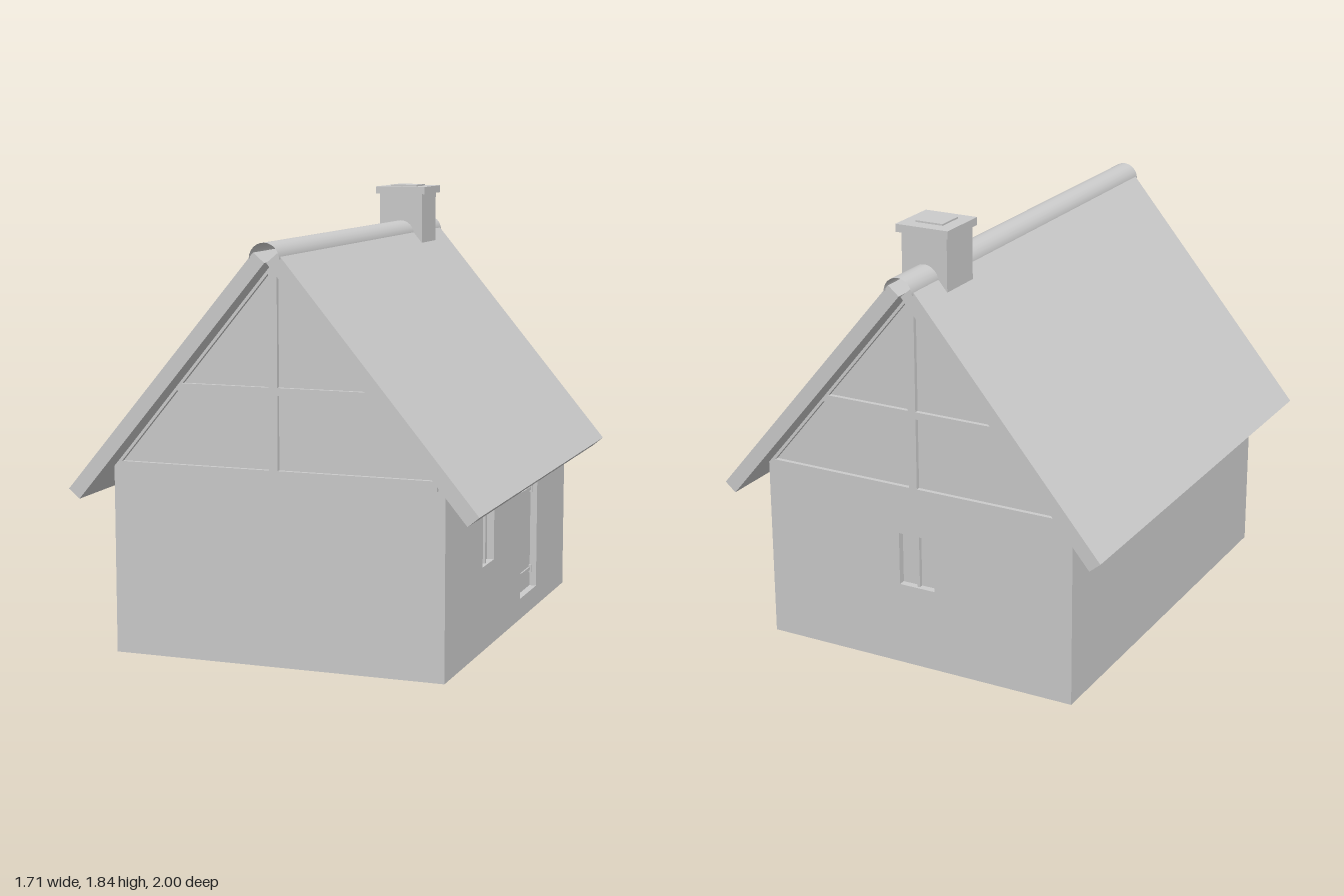
import * as THREE from 'three';

const grey = new THREE.MeshStandardMaterial({ color: 0xcccccc });
const greyThin = new THREE.MeshStandardMaterial({ color: 0xcccccc, side: THREE.DoubleSide });

const HALF_W = 0.695, HALF_L = 0.9, WALL = 0.05;
const EAVE_Y = 0.765, APEX_Y = 1.59, RECESS = 0.03;

function add(parent, name, geometry, x = 0, y = 0, z = 0, material = grey) {
  const mesh = new THREE.Mesh(geometry, material);
  mesh.name = name;
  mesh.position.set(x, y, z);
  parent.add(mesh);
  return mesh;
}

const box = (parent, name, w, h, d, x, y, z) => add(parent, name, new THREE.BoxGeometry(w, h, d), x, y, z);
const toPoints = (list) => list.map(([x, y]) => new THREE.Vector2(x, y));
const rect = (x0, x1, y0, y1) => [[x0, y0], [x1, y0], [x1, y1], [x0, y1]];

function plate(outline, holes, depth) {
  const shape = new THREE.Shape(toPoints(outline));
  holes.forEach((h) => shape.holes.push(new THREE.Path(toPoints(h))));
  return new THREE.ExtrudeGeometry(shape, { depth, bevelEnabled: false });
}

// A wall facing local +z at the given distance, turned about y
function wall(parent, name, outline, holes, distance, angle) {
  const side = new THREE.Group();
  side.name = name;
  side.rotation.y = angle;
  parent.add(side);
  add(side, name + 'Panel', plate(outline, holes, WALL), 0, 0, distance - WALL);
  return side;
}

// Recessed window: pane and central mullion behind the opening
const WIN = { w: 0.16, y0: 0.35, y1: 0.575 };
const windowHole = (x) => rect(x - WIN.w / 2, x + WIN.w / 2, WIN.y0, WIN.y1);
function addWindow(side, x, face) {
  const h = WIN.y1 - WIN.y0, y = (WIN.y0 + WIN.y1) / 2;
  box(side, 'windowPane', WIN.w + 0.02, h + 0.02, 0.02, x, y, face - RECESS - 0.01);
  box(side, 'windowMullion', 0.012, h, 0.02, x, y, face - RECESS + 0.008);
}

// Timber frame of the gable: tie beam, rafters, post and rail
function gableFrame(side) {
  const base = 0.79, railY = 1.1, half = 0.667, top = 1.595;
  const innerX = (y) => half * (top - y) / (top - base) - 0.015;
  const post = 0.018, rail = 0.015;
  const holes = [];
  for (const s of [-1, 1]) {
    const lo = railY - rail, hi = railY + rail;
    const peak = top - (post + 0.015) * (top - base) / half;
    holes.push([[s * post, base], [s * innerX(base), base], [s * innerX(lo), lo], [s * post, lo]]);
    holes.push([[s * post, hi], [s * innerX(hi), hi], [s * post, peak]]);
  }
  const outline = [[-half, 0.75], [half, 0.75], [half, base], [0, top], [-half, base]];
  add(side, 'gableFrame', plate(outline, holes, 0.02), 0, 0, HALF_L - 0.002);
}

function addWalls(house) {
  const gable = [[-HALF_W, 0], [HALF_W, 0], [HALF_W, EAVE_Y], [0, APEX_Y], [-HALF_W, EAVE_Y]];
  const long = rect(-HALF_L, HALF_L, 0, EAVE_Y);

  gableFrame(wall(house, 'frontGable', gable, [], HALF_L, 0));

  const back = wall(house, 'backGable', gable, [windowHole(0)], HALF_L, Math.PI);
  gableFrame(back);
  addWindow(back, 0, HALF_L);

  wall(house, 'rightWall', long, [], HALF_W, -Math.PI / 2);

  // Entrance side with a window and a door
  const doorX = 0.3, doorW = 0.26, y0 = 0.09, y1 = 0.66;
  const doorHole = rect(doorX - doorW / 2, doorX + doorW / 2, y0, y1);
  const left = wall(house, 'leftWall', long, [windowHole(-0.32), doorHole], HALF_W, Math.PI / 2);
  addWindow(left, -0.32, HALF_W);
  const doorFace = HALF_W - RECESS;
  box(left, 'door', doorW + 0.02, y1 - y0 + 0.02, 0.02, doorX, (y0 + y1) / 2, doorFace - 0.01);
  for (const y of [0.17, 0.53]) {
    box(left, 'hingeStrap', 0.2, 0.014, 0.008, doorX + 0.02, y, doorFace + 0.002);
    box(left, 'hingePin', 0.014, 0.035, 0.014, doorX + doorW / 2 - 0.012, y, doorFace + 0.004);
  }

  box(house, 'floor', HALF_W * 2 - 0.02, 0.04, HALF_L * 2 - 0.02, 0, 0.02, 0);
}

function addRoof(house) {
  // Each slab runs from the ridge down past the eave
  const outer = [[0.05, 1.64], [0.855, 0.677]];
  const dx = outer[1][0] - outer[0][0], dy = outer[1][1] - outer[0][1];
  const length = Math.hypot(dx, dy), thick = 0.06;
  const nx = -dy / length, ny = dx / length;
  for (const s of [-1, 1]) {
    const x = (outer[0][0] + outer[1][0]) / 2 - nx * thick / 2;
    const y = (outer[0][1] + outer[1][1]) / 2 - ny * thick / 2;
    const slab = box(house, s > 0 ? 'leftRoofSlab' : 'rightRoofSlab', length, thick, 1.974, s * x, y, 0);
    slab.rotation.z = s * Math.atan2(dy, dx);
  }

  // Open half-round ridge tile
  const ridge = new THREE.CylinderGeometry(0.0625, 0.0625, 2, 12, 1, true, Math.PI / 2, Math.PI);
  ridge.rotateX(Math.PI / 2);
  add(house, 'ridgeCap', ridge, 0, 1.617, 0, greyThin);
}

function addChimney(house) {
  const chimney = new THREE.Group();
  chimney.name = 'chimney';
  chimney.position.z = -0.7;
  house.add(chimney);
  box(chimney, 'chimneyStack', 0.2, 0.3, 0.2, 0, 1.65, 0);
  box(chimney, 'chimneyCap', 0.23, 0.032, 0.23, 0, 1.814, -0.003);
  box(chimney, 'chimneyFlue', 0.12, 0.02, 0.12, 0, 1.827, 0);
}

export function createModel() {
  const house = new THREE.Group();
  house.name = 'cottage';
  addWalls(house);
  addRoof(house);
  addChimney(house);
  return house;
}
